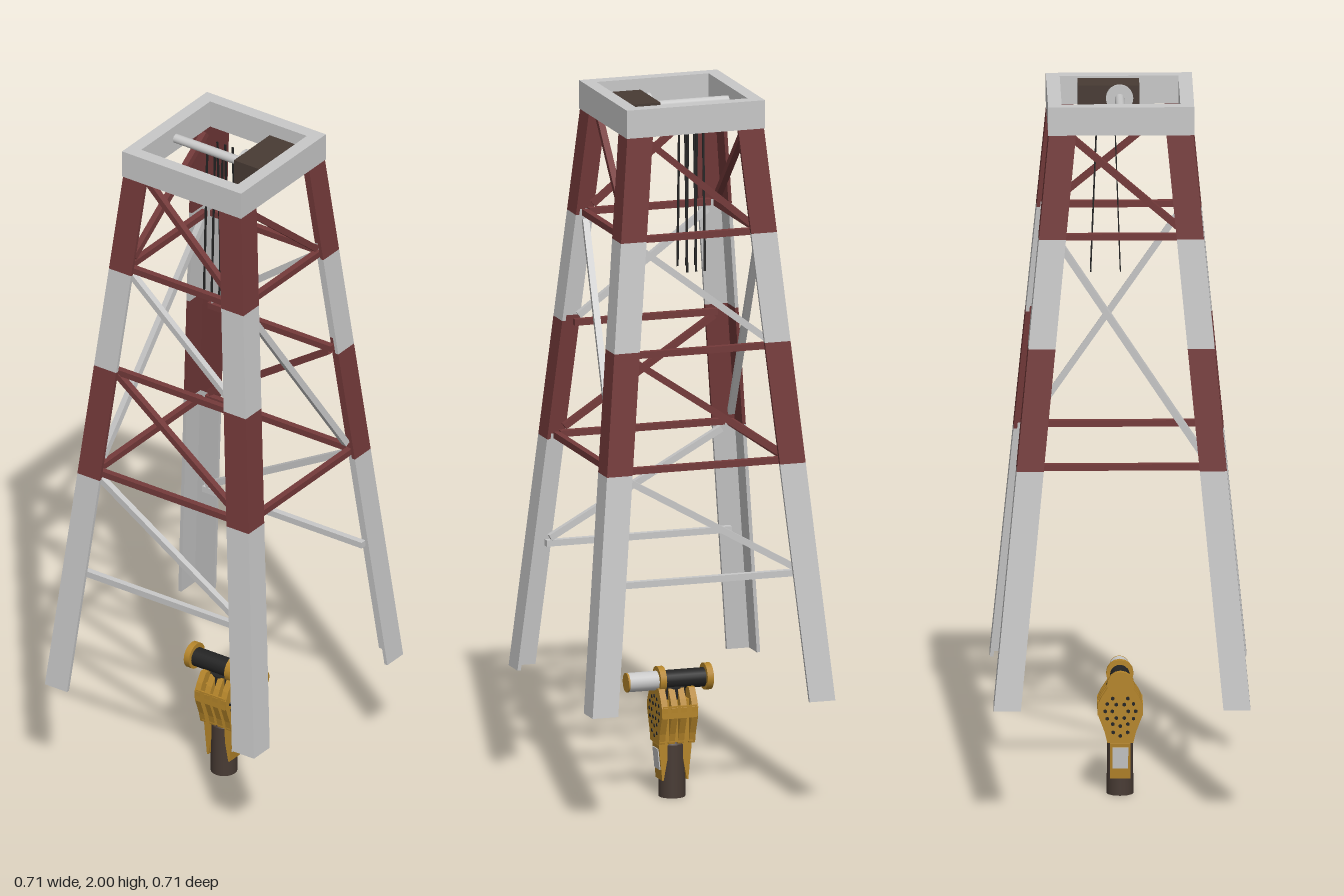
import * as THREE from 'three';

const mat = (name, color) => Object.assign(new THREE.MeshStandardMaterial({ color }), { name });

export function createModel() {
  const grey = mat('pale grey paint', 0xc8c8c8);
  const red = mat('dark red paint', 0x743a3a);
  const gold = mat('ochre paint', 0xb5852a);
  const brown = mat('dark brown steel', 0x483b34);
  const black = mat('black steel', 0x232323);

  const model = new THREE.Group();
  model.name = 'hoistTower';

  const add = (parent, name, geometry, material, x = 0, y = 0, z = 0) => {
    const mesh = new THREE.Mesh(geometry, material);
    mesh.name = name;
    mesh.position.set(x, y, z);
    parent.add(mesh);
    return mesh;
  };
  const group = (name) => {
    const g = new THREE.Group();
    g.name = name;
    model.add(g);
    return g;
  };
  const polygon = (pts) => new THREE.Shape(pts.map(([x, y]) => new THREE.Vector2(x, y)));
  const extrude = (shape, depth) => new THREE.ExtrudeGeometry(shape, { depth, bevelEnabled: false });
  // Cylinder lying along z between z0 and z1
  const zCylinder = (parent, name, r, z0, z1, y, material, sides = 20) =>
    add(parent, name, new THREE.CylinderGeometry(r, r, z1 - z0, sides).rotateX(Math.PI / 2),
      material, 0, y, (z0 + z1) / 2);
  // Square bar between two points
  const bar = (parent, name, a, b, size, material) => {
    const mesh = add(parent, name, new THREE.BoxGeometry(size, size, a.distanceTo(b)), material);
    mesh.position.copy(a).add(b).multiplyScalar(0.5);
    mesh.lookAt(b);
  };

  // Half width of the tower at height y
  const half = (y) => 0.2 + 0.0969 * (1.92 - y);

  // Square ring on top
  const ring = polygon([[-0.202, -0.202], [0.202, -0.202], [0.202, 0.202], [-0.202, 0.202]]);
  const w = 0.164;
  ring.holes.push(new THREE.Path([[-w, -w], [-w, w], [w, w], [w, -w]].map((p) => new THREE.Vector2(...p))));
  add(model, 'topFrame', extrude(ring, 0.08).rotateX(-Math.PI / 2), grey, 0, 1.92, 0);

  // Leaning angle-section legs, painted in bands
  const bands = [[0.32, 0.985, grey], [0.985, 1.325, red], [1.325, 1.63, grey], [1.63, 1.92, red]];
  const f = 0.075, t = 0.01;
  const angle = polygon([[0, 0], [-f, 0], [-f, -t], [-t, -t], [-t, -f], [0, -f]]);
  const legBand = (y0, y1) => {
    const g = extrude(angle, y1 - y0).rotateX(-Math.PI / 2);
    const p = g.attributes.position;
    for (let i = 0; i < p.count; i++) {
      const y = p.getY(i) + y0;
      p.setXYZ(i, p.getX(i) + half(y), y, p.getZ(i) - half(y));
    }
    g.computeVertexNormals();
    return g;
  };
  for (let i = 0; i < 4; i++) {
    const leg = group('leg');
    leg.rotation.y = (i * Math.PI) / 2;
    for (const [y0, y1, m] of bands) add(leg, 'legBand', legBand(y0, y1), m);
  }

  // One diagonal per bay on each face; front and back have fewer, taller bays
  const frontBays = [[1.02, 1.61, grey], [1.65, 1.91, red]];
  const frontRails = [[0.99, red], [1.63, red]];
  const sideBays = [[0.69, 0.97, grey], [1.01, 1.3, red], [1.33, 1.61, grey], [1.65, 1.91, red]];
  const sideRails = [[0.675, grey], [0.99, red], [1.31, red], [1.63, red]];
  for (let i = 0; i < 4; i++) {
    const face = group(i % 2 ? 'sideBracing' : 'frontBracing');
    const at = (s, y, inset) => new THREE.Vector3(s * (half(y) - inset), y, half(y) - 0.036);
    for (const [y0, y1, m] of i % 2 ? sideBays : frontBays) {
      bar(face, 'diagonal', at(1, y0, 0.06), at(-1, y1, 0.06), 0.018, m);
    }
    for (const [y, m] of i % 2 ? sideRails : frontRails) {
      bar(face, 'rail', at(-1, y, 0.05), at(1, y, 0.05), 0.018, m);
    }
    face.rotation.y = (i * Math.PI) / 2;
  }

  // Winch in the top frame, with flat hanging ropes
  const winch = group('winch');
  add(winch, 'gearbox', new THREE.BoxGeometry(0.17, 0.08, 0.087), brown, 0.03, 1.955, 0.1165);
  zCylinder(winch, 'shaft', 0.013, -0.165, 0.075, 1.96, grey);
  zCylinder(winch, 'shaftFlange', 0.038, 0.065, 0.074, 1.96, grey);
  for (const z of [-0.068, -0.042, -0.016]) {
    for (const [x0, x1] of [[0.016, 0], [0.064, 0.082]]) {
      const rope = new THREE.BoxGeometry(0.003, Math.hypot(x1 - x0, 0.45), 0.006);
      add(winch, 'rope', rope, black, (x0 + x1) / 2, 1.725, z).rotation.z = Math.atan((x1 - x0) / 0.45);
    }
  }

  // Pulley block: four plates around a narrower core, closed at the sides
  const block = group('pulleyBlock');
  const outline = polygon([
    [-0.036, 0.155], [0.036, 0.155], [0.043, 0.185], [0.062, 0.235], [0.063, 0.262], [0.052, 0.285],
    [0.034, 0.312], [-0.034, 0.312], [-0.052, 0.285], [-0.063, 0.262], [-0.062, 0.235], [-0.043, 0.185],
  ]);
  for (const z of [-0.055, -0.0225, 0.0045, 0.033]) add(block, 'plate', extrude(outline, 0.018), gold, 0, 0, z);
  add(block, 'core', new THREE.BoxGeometry(0.076, 0.12, 0.096), gold, 0, 0.22, 0);
  add(block, 'sheaveHousing', new THREE.CylinderGeometry(0.037, 0.037, 0.034, 20), black, 0, 0.296, 0);
  for (const s of [-1, 1]) {
    add(block, 'sideWall', new THREE.BoxGeometry(0.005, 0.035, 0.1), gold, s * 0.06, 0.25, -0.002);
  }

  // Drum and motor lying across the block
  zCylinder(block, 'motor', 0.027, 0.04, 0.13, 0.33, grey);
  zCylinder(block, 'motorCap', 0.027, 0.13, 0.135, 0.33, gold);
  zCylinder(block, 'drum', 0.027, -0.092, 0.03, 0.33, black);
  for (const z of [0.027, -0.11]) zCylinder(block, 'drumFlange', 0.038, z, z + 0.018, 0.332, gold, 16);

  // Rings of bolts on the front and back plates
  for (const [z0, z1] of [[0.05, 0.0525], [-0.0565, -0.054]]) {
    for (const [r, n] of [[0.042, 12], [0.022, 6]]) {
      for (let i = 0; i < n; i++) {
        const a = (i / n) * Math.PI * 2;
        const bolt = zCylinder(block, 'bolt', 0.0055, z0, z1, 0.245 + r * Math.sin(a), black, 6);
        bolt.position.x = r * Math.cos(a);
      }
    }
    for (const x of [-0.02, 0, 0.02]) {
      zCylinder(block, 'bolt', 0.0055, z0, z1, 0.175 + Math.abs(x) / 2, black, 6).position.x = x;
    }
  }

  // Round lower stem held by two tapered cheeks with pale panels
  const stem = group('stem');
  add(stem, 'stemBody', new THREE.CylinderGeometry(0.036, 0.037, 0.15, 20), brown, 0, 0.075, 0);
  add(stem, 'stemCone', new THREE.CylinderGeometry(0.012, 0.036, 0.035, 20), brown, 0, 0.1675, 0);
  const cheek = polygon([[0.01, 0.18], [0.034, 0.05], [0.038, 0.05], [0.048, 0.15], [0.045, 0.18]]);
  for (let i = 0; i < 2; i++) {
    const side = new THREE.Group();
    side.name = 'cheek';
    side.rotation.y = i * Math.PI;
    stem.add(side);
    add(side, 'cheekWedge', extrude(cheek, 0.056).translate(0, 0, -0.028).rotateY(-Math.PI / 2), gold);
    add(side, 'cheekPanel', new THREE.BoxGeometry(0.044, 0.06, 0.004), grey, 0, 0.11, 0.045).rotation.x = 0.1;
  }

  return model;
}
